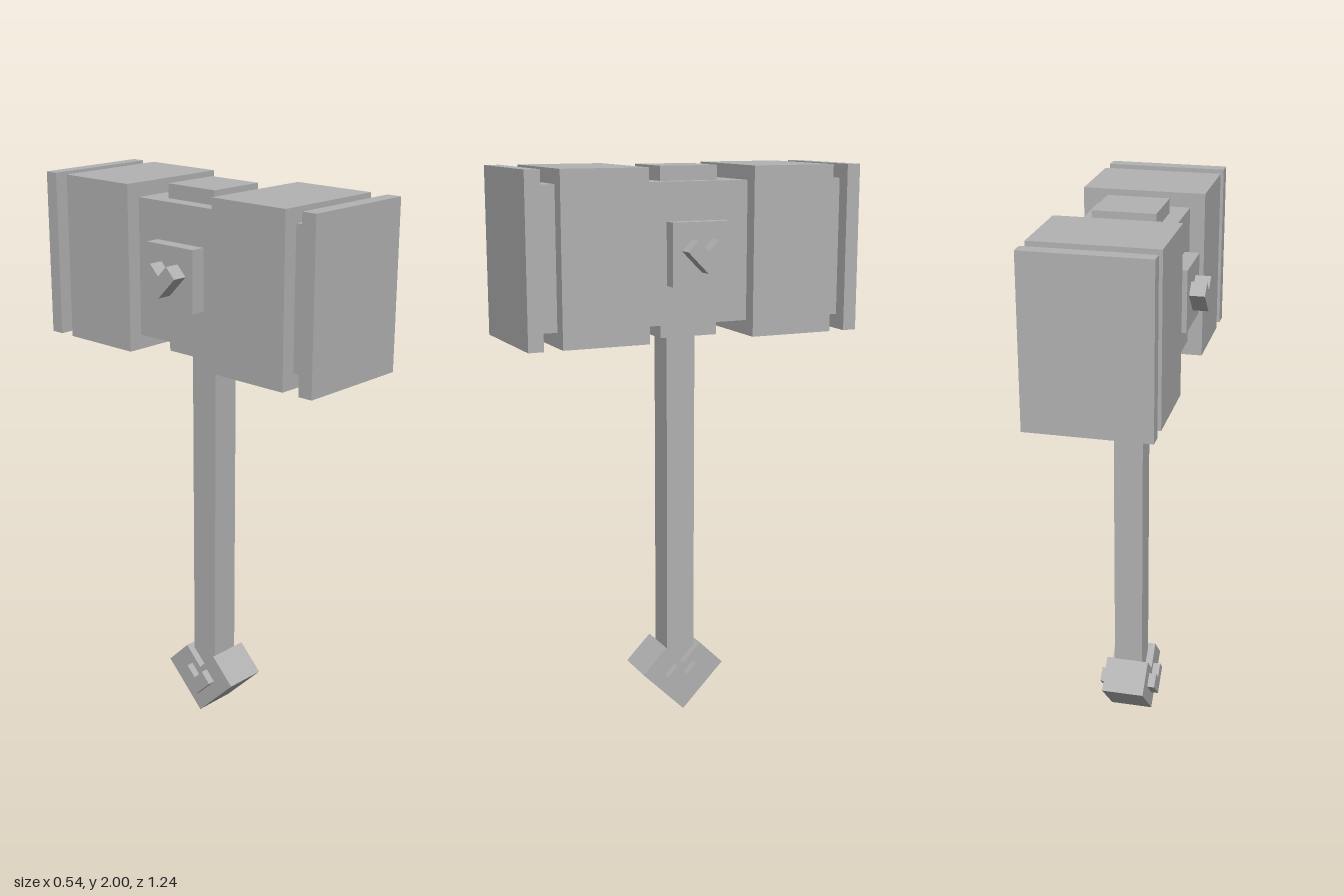
import * as THREE from 'three';

export function createModel() {
  const model = new THREE.Group();
  model.name = 'hammer';
  const stone = new THREE.MeshStandardMaterial({ color: 0xb2b2b2 });
  stone.name = 'grey stone';

  const add = (name, geometry, x, y, z) => {
    const mesh = new THREE.Mesh(geometry, stone);
    mesh.name = name;
    mesh.position.set(x, y, z);
    model.add(mesh);
    return mesh;
  };
  // Box given by its lower and upper limits on each axis
  const box = (name, [x0, x1], [y0, y1], [z0, z1]) =>
    add(name, new THREE.BoxGeometry(x1 - x0, y1 - y0, z1 - z0),
      (x0 + x1) / 2, (y0 + y1) / 2, (z0 + z1) / 2);

  // Angular heart standing on its point, extruded along x
  const heart = (name, w, lobe, rise, x0, x1, y, z) => {
    const shape = new THREE.Shape([
      [0, 0], [w, w], [lobe, w + rise], [0, w + rise - lobe], [-lobe, w + rise], [-w, w],
    ].map(([a, b]) => new THREE.Vector2(a, b)));
    const geometry = new THREE.ExtrudeGeometry(shape, { depth: x1 - x0, bevelEnabled: false });
    geometry.rotateY(Math.PI / 2);
    return add(name, geometry, x0, y, z);
  };

  // Handle and core of the head
  box('handle', [-0.053, 0.053], [0.17, 1.47], [-0.054, 0.054]);
  box('headCore', [-0.162, 0.162], [1.467, 1.95], [-0.58, 0.58]);

  // Heavy blocks and end caps
  box('frontBlock', [-0.214, 0.214], [1.415, 2], [0.188, 0.498]);
  box('backBlock', [-0.214, 0.214], [1.415, 2], [-0.511, -0.202]);
  box('frontCap', [-0.214, 0.214], [1.415, 2], [0.564, 0.618]);
  box('backCap', [-0.214, 0.214], [1.415, 2], [-0.618, -0.568]);

  // Raised plates around the middle
  const plateZ = [-0.112, 0.102];
  box('topPlate', [-0.108, 0.108], [1.94, 2], plateZ);
  box('bottomPlate', [-0.108, 0.108], [1.415, 1.475], plateZ);
  for (const [side, s] of [['left', 1], ['right', -1]]) {
    const span = (a, b) => (s > 0 ? [a, b] : [-b, -a]);
    box(side + 'Plate', span(0.15, 0.214), [1.602, 1.818], plateZ);
    heart(side + 'HeadHeart', 0.075, 0.0375, 0.0375, ...span(0.2, 0.268), 1.648, -0.005);
    heart(side + 'PommelHeart', 0.075, 0.0375, 0.0375, ...span(0.07, 0.106), 0.075, -0.003);
  }

  // Heart-shaped pommel
  heart('pommel', 0.16, 0.068, 0.092, -0.079, 0.079, 0.004, 0);

  // Rest the pommel point on the ground
  model.children.forEach((part) => { if (part.name === 'pommel') part.position.y = 0.002; });
  return model;
}
